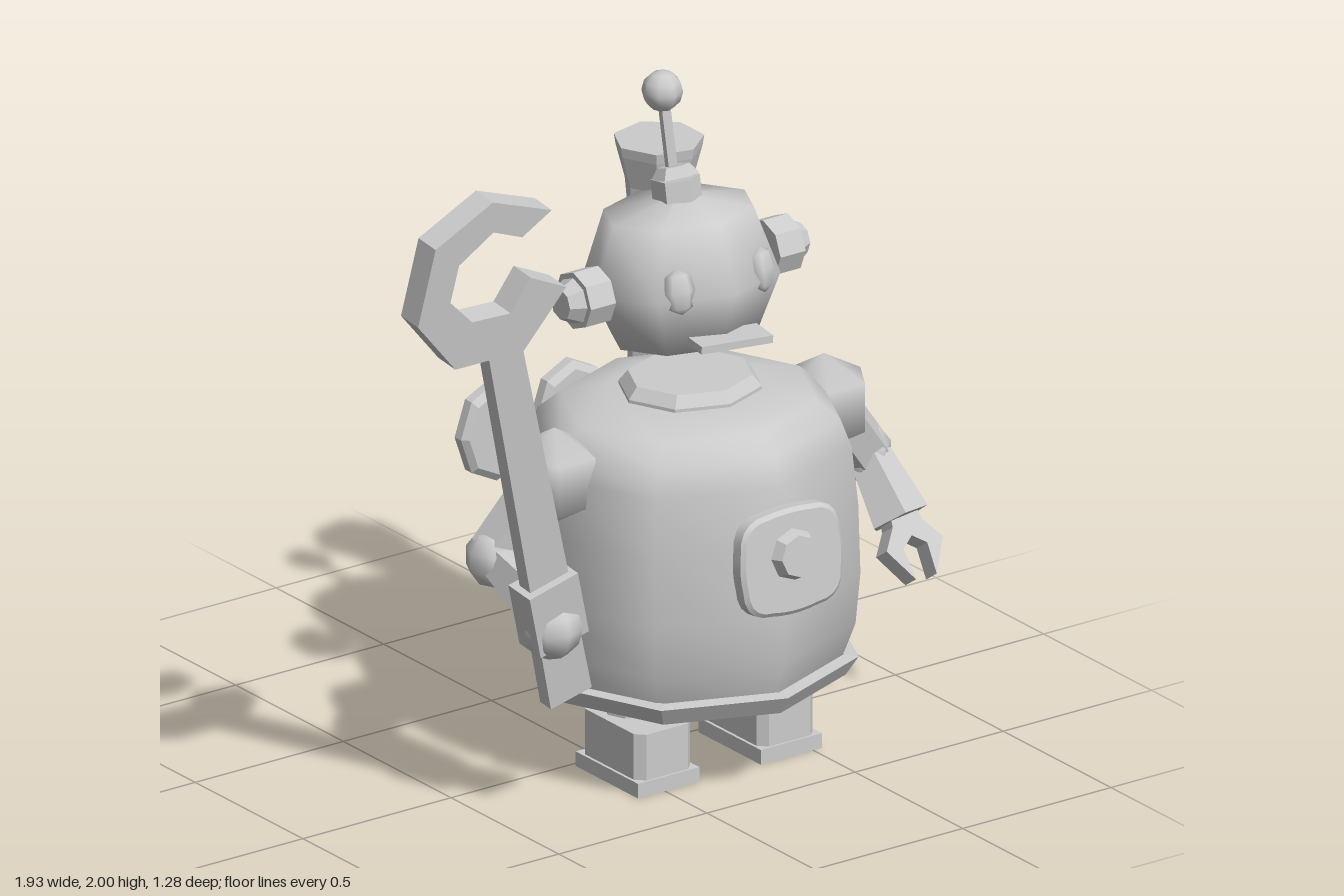
import * as THREE from 'three';
import { toCreasedNormals } from 'three/addons/utils/BufferGeometryUtils.js';

const smooth = new THREE.MeshStandardMaterial({ color: 0xcccccc, side: THREE.DoubleSide });
const flat = new THREE.MeshStandardMaterial({ color: 0xcccccc, flatShading: true, side: THREE.DoubleSide });
const CX = 0.22; // the body's centre line

function add(parent, name, geo, pos = [0, 0, 0], mat = flat) {
  const m = new THREE.Mesh(geo, mat);
  m.name = name;
  m.position.set(...pos);
  parent.add(m);
  return m;
}

const v2 = (pts) => pts.map(([x, y]) => new THREE.Vector2(x, y));
const lathe = (pts, sides) => new THREE.LatheGeometry(v2(pts), sides);

function extrude(pts, depth, bevel = 0) {
  const g = new THREE.ExtrudeGeometry(new THREE.Shape(v2(pts)), {
    depth, bevelEnabled: bevel > 0, bevelSize: bevel, bevelThickness: bevel, bevelSegments: 1,
  });
  return g.translate(0, 0, -depth / 2);
}

// Tapered rod from point a to point b
function limb(parent, name, a, b, ra, rb, sides, mat = flat) {
  const A = new THREE.Vector3(...a), B = new THREE.Vector3(...b);
  const d = B.clone().sub(A);
  const m = add(parent, name, new THREE.CylinderGeometry(rb, ra, d.length(), sides), [0, 0, 0], mat);
  m.position.copy(A).add(B).multiplyScalar(0.5);
  m.quaternion.setFromUnitVectors(new THREE.Vector3(0, 1, 0), d.normalize());
  return m;
}

// Rectangle with cut corners
function cutRect(w, h, c) {
  const x = w / 2, y = h / 2;
  return [[-x + c, -y], [x - c, -y], [x, -y + c], [x, y - c], [x - c, y], [-x + c, y], [-x, y - c], [-x, -y + c]];
}

function buildBody(g) {
  const body = add(g, 'body', lathe([[0.44, 0.3], [0.478, 0.4], [0.492, 0.55], [0.486, 0.75], [0.467, 0.92],
    [0.435, 1.0], [0.37, 1.05], [0.24, 1.08], [0, 1.085]], 8), [CX, 0, 0.115], smooth);
  body.scale.z = 0.91;
  const skirt = add(g, 'skirt', lathe([[0, 0.255], [0.435, 0.255], [0.472, 0.31], [0.43, 0.315]], 8), [CX, 0, 0.13]);
  skirt.scale.z = 0.94;
  const collar = add(g, 'collar', lathe([[0.207, 1.06], [0.207, 1.09], [0.18, 1.122], [0, 1.122]], 8), [CX, 0, 0.12]);
  collar.scale.z = 0.9;

  // Chest panel with its knob
  const panel = new THREE.Group();
  panel.name = 'chestPanel';
  panel.position.set(CX, 0.722, 0.575);
  panel.rotation.x = -0.1;
  g.add(panel);
  const s = new THREE.Shape(), w = 0.155, h = 0.133, r = 0.08;
  s.moveTo(-w + r, -h);
  s.quadraticCurveTo(0, -h - 0.015, w - r, -h).quadraticCurveTo(w, -h, w, -h + r);
  s.quadraticCurveTo(w + 0.01, 0, w, h - r).quadraticCurveTo(w, h, w - r, h);
  s.quadraticCurveTo(0, h + 0.01, -w + r, h).quadraticCurveTo(-w, h, -w, h - r);
  s.quadraticCurveTo(-w - 0.01, 0, -w, -h + r).quadraticCurveTo(-w, -h, -w + r, -h);
  const plate = new THREE.ExtrudeGeometry(s, { depth: 0.035, bevelSize: 0.012, bevelThickness: 0.01, bevelSegments: 1, curveSegments: 5 });
  add(panel, 'panelPlate', toCreasedNormals(plate.translate(0, 0, -0.02), 0.5), [0, 0, 0], smooth);
  const knob = add(panel, 'panelKnob', new THREE.CylinderGeometry(0.06, 0.075, 0.035, 8), [0, 0.02, 0.04]);
  knob.rotation.x = Math.PI / 2;
}

function buildHead(g) {
  const skull = add(g, 'head', lathe([[0, -0.222], [0.215, -0.17], [0.292, 0], [0.222, 0.19], [0, 0.235]], 8),
    [CX, 1.4, 0.08], smooth);
  skull.scale.z = 0.85;
  skull.rotation.x = -0.07;
  for (const s of [-1, 1]) {
    // Ears
    const ear = add(g, 'ear', new THREE.CylinderGeometry(0.083, 0.083, 0.085, 8), [CX + s * 0.32, 1.405, 0.075]);
    ear.rotation.z = -s * Math.PI / 2;
    const cap = add(g, 'earCap', new THREE.CylinderGeometry(0.045, 0.068, 0.045, 8), [CX + s * 0.383, 1.405, 0.075]);
    cap.rotation.z = -s * Math.PI / 2;
    // Eyes
    const eye = add(g, 'eye', new THREE.SphereGeometry(1, 6, 4), [CX + s * 0.14, 1.44, 0.262], smooth);
    eye.scale.set(0.05, 0.066, 0.025);
    eye.rotation.set(-0.2, s * 0.34, 0);
  }
  const mouth = add(g, 'mouth', new THREE.BoxGeometry(0.22, 0.022, 0.1), [CX, 1.28, 0.3]);
  mouth.rotation.set(0, -0.15, -0.03);

  // Antenna, leaning back
  limb(g, 'antennaBase', [CX, 1.615, 0.06], [CX, 1.675, 0.05], 0.068, 0.068, 6);
  limb(g, 'antennaBaseTop', [CX, 1.675, 0.05], [CX, 1.705, 0.04], 0.068, 0.045, 6);
  limb(g, 'antennaRod', [CX, 1.69, 0.035], [CX, 1.89, -0.005], 0.017, 0.017, 6);
  add(g, 'antennaBall', new THREE.SphereGeometry(0.058, 8, 6), [CX, 1.91, -0.01], smooth);
}

function buildLegs(g) {
  for (const x of [0.013, 0.427]) {
    add(g, 'legCuff', new THREE.CylinderGeometry(0.09, 0.085, 0.07, 8), [x, 0.232, 0.12]);
    add(g, 'ankle', new THREE.CylinderGeometry(0.07, 0.07, 0.06, 8), [x, 0.19, 0.12]);
    add(g, 'foot', extrude(cutRect(0.19, 0.276, 0.025), 0.135).rotateX(-Math.PI / 2), [x, 0.11, 0.16]);
    add(g, 'sole', new THREE.BoxGeometry(0.207, 0.043, 0.29), [x, 0.0215, 0.16]);
  }
}

function buildBackParts(g) {
  // Exhaust pipe with two rings and a flared mouth
  const pipe = add(g, 'exhaustPipe', lathe([[0, 0.515], [0.086, 0.515], [0.088, 1.08], [0.1, 1.085], [0.1, 1.105],
    [0.088, 1.11], [0.088, 1.385], [0.102, 1.39], [0.102, 1.41], [0.088, 1.415], [0.096, 1.5],
    [0.122, 1.595], [0.127, 1.625], [0, 1.625]], 7), [0.42, 0, -0.302]);
  pipe.rotation.y = Math.PI / 14;

  // Winding key
  limb(g, 'keySocket', [CX, 0.74, -0.28], [CX, 0.74, -0.385], 0.072, 0.072, 8);
  limb(g, 'keyShaft', [CX, 0.74, -0.36], [CX, 0.74, -0.565], 0.032, 0.032, 8);
  for (const s of [-1, 1]) {
    const wing = add(g, 'keyWing', lathe([[0, -0.03], [0.125, -0.03], [0.147, -0.015], [0.147, 0.015],
      [0.125, 0.03], [0, 0.03]], 8), [CX + s * 0.128, 0.74, -0.617]);
    wing.rotation.x = Math.PI / 2;
    wing.scale.x = 0.82;
  }
}

function buildArms(g) {
  for (const s of [-1, 1])
    add(g, 'shoulder', new THREE.SphereGeometry(0.142, 6, 3), [CX + s * 0.455, 0.925, 0.115], smooth);

  // Left arm hanging, ending in a two-pronged claw
  limb(g, 'leftUpperArm', [0.7, 0.9, 0.1], [0.84, 0.72, 0.06], 0.085, 0.085, 6);
  add(g, 'leftElbow', new THREE.SphereGeometry(0.085, 7, 5), [0.84, 0.72, 0.065], smooth);
  limb(g, 'leftForearm', [0.845, 0.71, 0.09], [0.865, 0.56, 0.2], 0.065, 0.088, 5);
  const claw = add(g, 'leftClaw', extrude([[-0.04, 0.06], [0.04, 0.06], [0.05, 0], [0.095, -0.06], [0.035, -0.155],
    [0.04, -0.065], [0, -0.035], [-0.04, -0.065], [-0.035, -0.155], [-0.095, -0.06], [-0.05, 0]], 0.06),
  [0.87, 0.54, 0.21]);
  claw.rotation.x = -0.6;

  // Right arm bent forward to grip the wrench
  limb(g, 'rightUpperArm', [-0.26, 0.9, 0.1], [-0.38, 0.71, 0.04], 0.085, 0.08, 6);
  add(g, 'rightElbow', new THREE.SphereGeometry(0.085, 7, 5), [-0.39, 0.7, 0.05], smooth);
  limb(g, 'rightForearm', [-0.39, 0.7, 0.07], [-0.385, 0.63, 0.29], 0.06, 0.09, 5);
  add(g, 'rightHand', new THREE.SphereGeometry(0.088, 8, 6), [-0.402, 0.588, 0.33], smooth);
}

function buildWrench(g) {
  const wrench = new THREE.Group();
  wrench.name = 'wrench';
  wrench.position.set(0, 1.505, 0.435);
  wrench.rotation.x = 0.115;
  g.add(wrench);
  // Open jaw
  const jaw = [[-0.83, 1.505], [-0.6, 1.505], [-0.47, 1.67], [-0.595, 1.73], [-0.655, 1.635], [-0.785, 1.64],
    [-0.865, 1.72], [-0.845, 1.83], [-0.735, 1.905], [-0.635, 1.865], [-0.54, 1.925], [-0.745, 2.0],
    [-0.93, 1.9], [-0.97, 1.67]];
  add(wrench, 'wrenchJaw', extrude(jaw.map(([x, y]) => [x, y - 1.505]), 0.08));
  // Handle, slightly wider at the grip
  add(wrench, 'wrenchHandle', extrude([[-0.71, 0.01], [-0.4, -1.165], [-0.265, -1.13], [-0.595, 0.01]], 0.05));
  // Grip sleeve around the handle
  const sleeve = add(wrench, 'gripSleeve', new THREE.BoxGeometry(0.165, 0.2, 0.1), [-0.415, -0.86, 0]);
  sleeve.rotation.z = 0.27;
}

export function createModel() {
  const g = new THREE.Group();
  g.name = 'toyRobot';
  buildBody(g);
  buildHead(g);
  buildLegs(g);
  buildBackParts(g);
  buildArms(g);
  buildWrench(g);
  return g;
}
